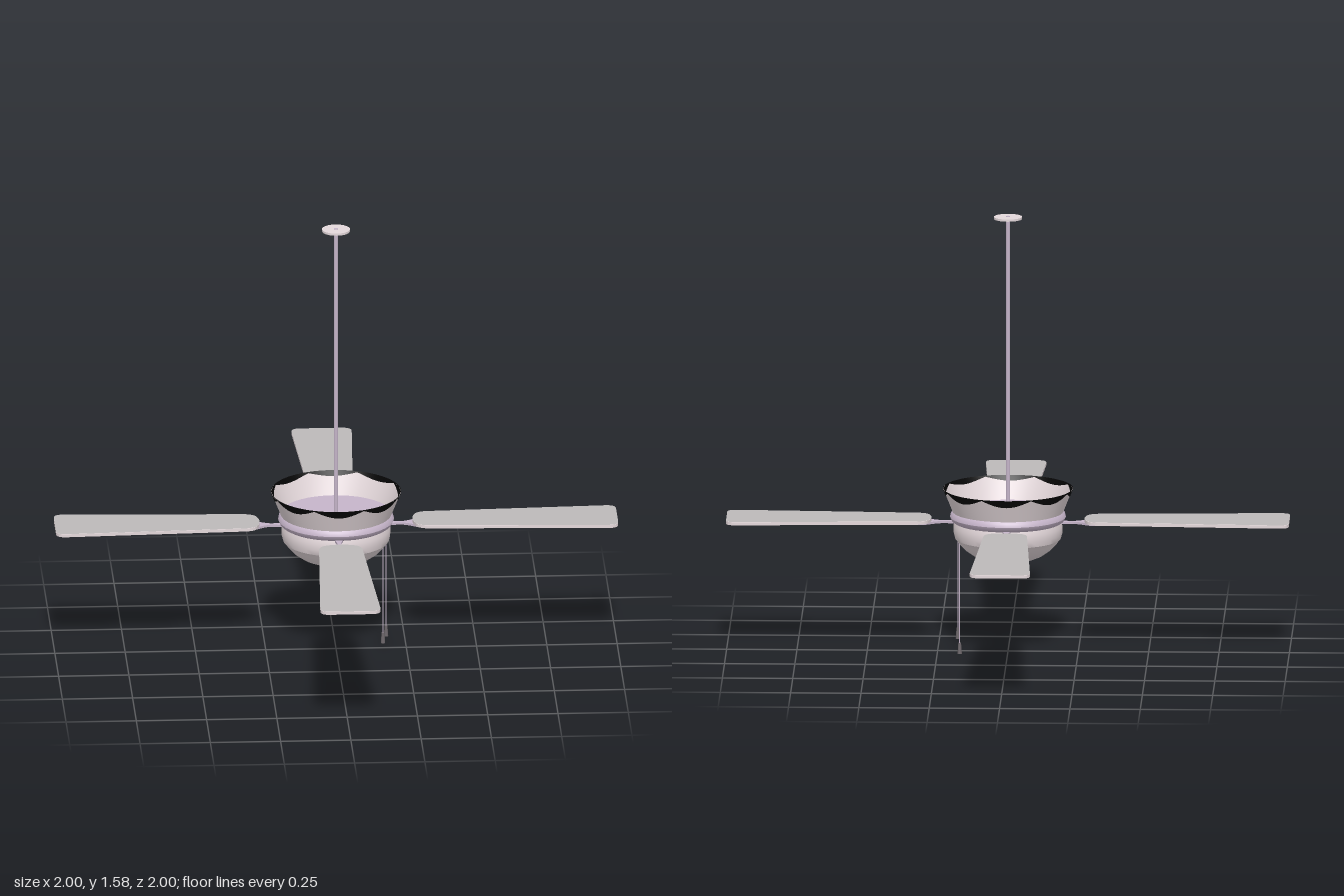
import * as THREE from 'three';
import { toCreasedNormals } from 'three/addons/utils/BufferGeometryUtils.js';

const material = (name, color, side = THREE.FrontSide) => {
  const m = new THREE.MeshStandardMaterial({ color, side });
  m.name = name;
  return m;
};

export function createModel() {
  const fan = new THREE.Group();
  fan.name = 'ceilingFan';
  const pale = material('pale metal', 0xe4d8db, THREE.DoubleSide);
  const mauve = material('mauve metal', 0xc6b5ca);
  const grey = material('blade grey', 0xbcb9b9);
  const dark = material('dark grey', 0x6a6468);
  const black = material('black trim', 0x050505, THREE.DoubleSide);

  const add = (name, geometry, mat, parent = fan) => {
    const mesh = new THREE.Mesh(geometry, mat);
    mesh.name = name;
    parent.add(mesh);
    return mesh;
  };
  const lathe = (name, points, mat) => add(name, toCreasedNormals(
    new THREE.LatheGeometry(points.map(p => new THREE.Vector2(...p)), 40), 0.6), mat);
  const cylinder = (name, radius, low, high, mat, x, z, segments) => add(name, toCreasedNormals(
    new THREE.CylinderGeometry(radius, radius, high - low, segments), 0.6), mat)
    .position.set(x, (low + high) / 2, z);

  // Ceiling plate and slim faceted down rod
  cylinder('ceilingPlate', 0.05, 1.574, 1.582, pale, 0, 0, 32);
  cylinder('downRod', 0.0075, 0.5, 1.584, mauve, 0, 0, 8);

  // Motor housing: open flared cup, floor and band, rounded bowl
  lathe('flaredCup', [[0.1948, 0.508], [0.23, 0.596]], pale);
  lathe('motorBand', [[0, 0.474], [0.188, 0.474], [0.2, 0.482], [0.206, 0.495], [0.203, 0.507],
    [0.197, 0.514], [0, 0.514]], mauve);
  lathe('lowerBowl', [[0, 0.333], [0.05, 0.335], [0.09, 0.342], [0.125, 0.357], [0.155, 0.378],
    [0.175, 0.4], [0.183, 0.412], [0.188, 0.416], [0.193, 0.435], [0.194, 0.46], [0.19, 0.476], [0, 0.476]], pale);

  // Scalloped dark trim on both faces of the cup rim
  const trim = (name, offset, maxDepth) => {
    const steps = 96, position = [], index = [];
    for (let i = 0; i <= steps; i++) {
      const a = i / steps * Math.PI * 2;
      const depth = 0.003 + maxDepth * Math.abs(Math.cos(4 * a));
      for (const drop of [0, depth]) {
        const r = 0.23 - drop * 0.4 + offset;
        position.push(r * Math.sin(a), 0.597 - drop, r * Math.cos(a));
      }
      if (i < steps) index.push(2 * i, 2 * i + 1, 2 * i + 2, 2 * i + 1, 2 * i + 3, 2 * i + 2);
    }
    const g = new THREE.BufferGeometry();
    g.setAttribute('position', new THREE.Float32BufferAttribute(position, 3));
    g.setIndex(index);
    g.computeVertexNormals();
    add(name, g, black);
  };
  trim('outerRimTrim', 0.0015, 0.024);
  trim('innerRimTrim', -0.0015, 0.016);

  // Tapered blade outline with rounded corners, drawn along +x
  const outline = new THREE.Shape();
  outline.moveTo(0.28, -0.045);
  outline.quadraticCurveTo(0.285, -0.07, 0.32, -0.077);
  outline.lineTo(0.965, -0.107);
  outline.quadraticCurveTo(1, -0.107, 1, -0.075);
  outline.lineTo(1, 0.075);
  outline.quadraticCurveTo(1, 0.107, 0.965, 0.107);
  outline.lineTo(0.32, 0.077);
  outline.quadraticCurveTo(0.285, 0.07, 0.28, 0.045);
  outline.quadraticCurveTo(0.272, 0.025, 0.272, 0);
  outline.quadraticCurveTo(0.272, -0.025, 0.28, -0.045);

  // Blade iron outline: narrow neck opening into a rounded pad
  const iron = new THREE.Shape();
  iron.moveTo(0.17, -0.02);
  iron.quadraticCurveTo(0.22, -0.004, 0.235, -0.008);
  iron.quadraticCurveTo(0.26, -0.015, 0.28, -0.033);
  iron.bezierCurveTo(0.31, -0.05, 0.352, -0.035, 0.352, 0);
  iron.bezierCurveTo(0.352, 0.035, 0.31, 0.05, 0.28, 0.033);
  iron.quadraticCurveTo(0.26, 0.015, 0.235, 0.008);
  iron.quadraticCurveTo(0.22, 0.004, 0.17, 0.02);
  iron.closePath();

  const plate = (shape, depth, y) => new THREE.ExtrudeGeometry(shape, { depth, bevelEnabled: false, curveSegments: 10 })
    .rotateX(-Math.PI / 2).translate(0, y, 0);
  const bladeGeometry = plate(outline, 0.011, 0.478);
  const bladeTopGeometry = new THREE.ShapeGeometry(outline, 10).rotateX(-Math.PI / 2).translate(0, 0.49, 0);
  const ironGeometry = plate(iron, 0.008, 0.47);

  // Pale blades with a grey upper face
  for (let i = 0; i < 4; i++) {
    const arm = new THREE.Group();
    arm.name = 'bladeArm' + (i + 1);
    arm.rotation.y = i * Math.PI / 2;
    add('blade', bladeGeometry, pale, arm);
    add('bladeTopFace', bladeTopGeometry, grey, arm);
    add('bladeIron', ironGeometry, mauve, arm);
    fan.add(arm);
  }

  // Two pull chains with tapered weights
  for (const [x, z, end] of [[0.178, 0, 0.05], [0.17, -0.053, 0.006]]) {
    cylinder('pullChain', 0.002, end + 0.03, 0.42, mauve, x, z, 6);
    add('pullWeight', new THREE.CylinderGeometry(0.005, 0.008, 0.04, 12), dark).position.set(x, end + 0.02, z);
  }

  // Stand the lowest weight on the ground
  fan.children.forEach(part => { part.position.y -= 0.006; });
  return fan;
}
